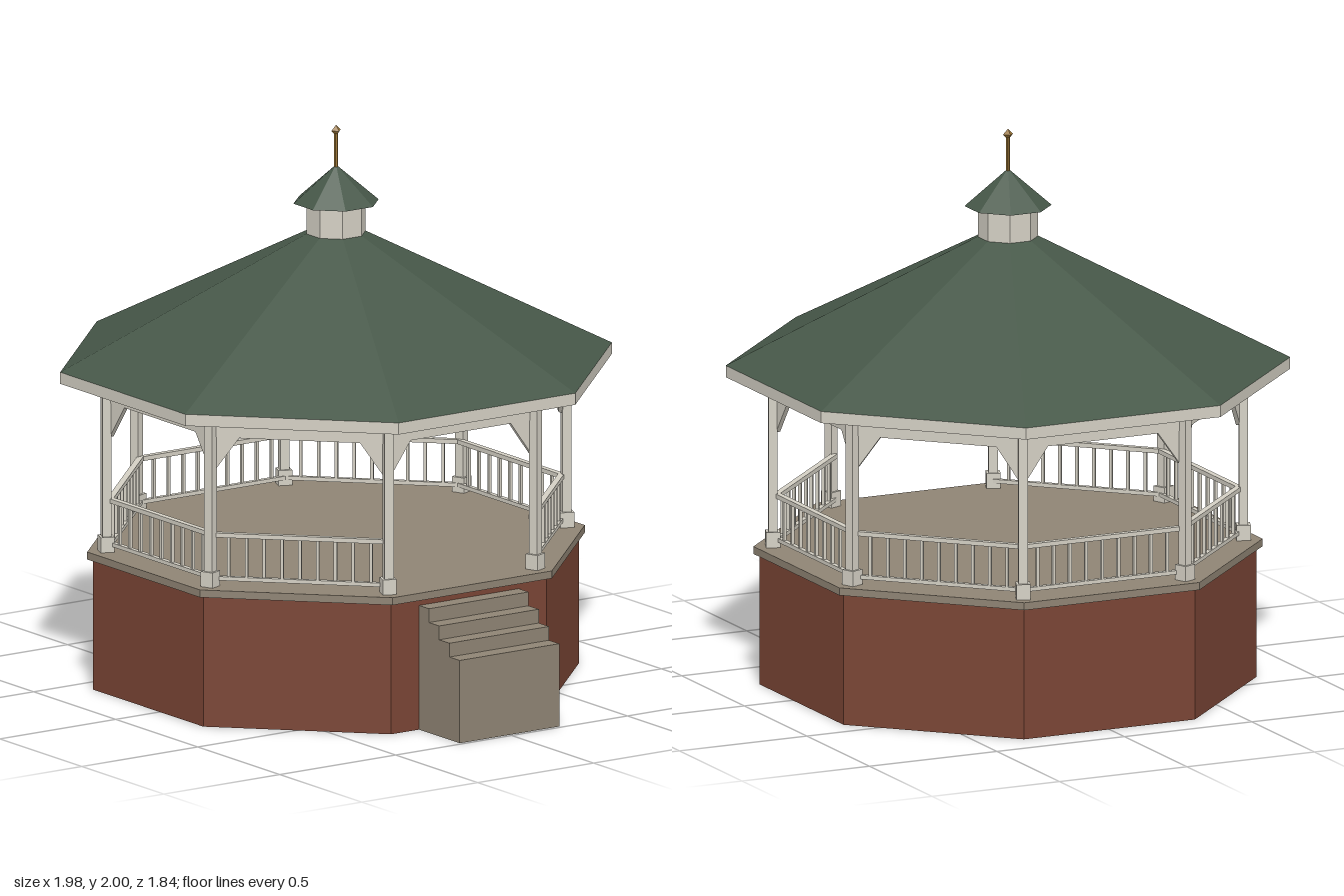
import * as THREE from 'three';

const mat = (name, color, extra = {}) => {
  const m = new THREE.MeshStandardMaterial({ color, flatShading: true, ...extra });
  m.name = name;
  return m;
};

export function createModel() {
  const brick = mat('brick', 0x7a4535, { side: THREE.DoubleSide });
  const cream = mat('cream paint', 0xd4d0c4);
  const stone = mat('stone', 0x8f8474);
  const green = mat('green roofing', 0x475849);
  const bronze = mat('bronze', 0x9a7434);

  const model = new THREE.Group();
  model.name = 'gazebo';
  const body = new THREE.Group();
  body.name = 'pavilion';
  body.position.x = -0.07;
  model.add(body);

  const add = (parent, name, geometry, material, x = 0, y = 0, z = 0) => {
    const mesh = new THREE.Mesh(geometry, material);
    mesh.name = name;
    mesh.position.set(x, y, z);
    parent.add(mesh);
    return mesh;
  };
  const box = (parent, name, material, w, h, d, x, y, z) =>
    add(parent, name, new THREE.BoxGeometry(w, h, d), material, x, y, z);

  // Octagonal tier, sized by the distance from its centre to its flat sides
  const octagon = (name, material, bottom, top, y0, y1, open = false) => {
    const k = 1 / Math.cos(Math.PI / 8);
    const g = new THREE.CylinderGeometry(top * k, bottom * k, y1 - y0, 8, 1, open);
    g.rotateY(Math.PI / 8);
    return add(body, name, g, material, 0, (y0 + y1) / 2, 0);
  };

  // Hollow base, deck, roof and cupola
  octagon('baseWall', brick, 0.81, 0.81, 0, 0.475, true);
  octagon('deck', stone, 0.83, 0.83, 0.473, 0.5);
  octagon('eaves', cream, 0.92, 0.92, 1.115, 1.157);
  octagon('roof', green, 0.92, 0.1, 1.157, 1.61);
  octagon('cupola', cream, 0.098, 0.098, 1.605, 1.722);
  octagon('cupolaRoof', green, 0.142, 0.001, 1.722, 1.855);

  // Finial
  add(body, 'finialPole', new THREE.CylinderGeometry(0.008, 0.008, 0.14, 8), bronze, 0, 1.915, 0);
  add(body, 'finialTip', new THREE.OctahedronGeometry(0.02), bronze, 0, 1.98, 0);

  // Corner bracket, with its right angle at the origin
  const bracketShape = new THREE.Shape();
  bracketShape.moveTo(0, 0);
  bracketShape.lineTo(0, -0.125);
  bracketShape.lineTo(0.09, 0);
  bracketShape.closePath();
  const bracketLeft = new THREE.ExtrudeGeometry(bracketShape, { depth: 0.016, bevelEnabled: false });
  bracketLeft.translate(0, 0, -0.008);
  const bracketRight = bracketLeft.clone().rotateY(Math.PI);

  for (let k = 0; k < 8; k++) {
    // Post on each corner
    const corner = new THREE.Group();
    corner.name = 'post';
    corner.rotation.y = (k + 0.5) * Math.PI / 4;
    body.add(corner);
    box(corner, 'postShaft', cream, 0.033, 0.62, 0.033, 0, 0.808, 0.83);
    box(corner, 'postFoot', cream, 0.05, 0.056, 0.05, 0, 0.527, 0.83);

    // Beam, brackets and railing on each side
    const side = new THREE.Group();
    side.name = 'side';
    side.rotation.y = k * Math.PI / 4;
    body.add(side);
    const z = 0.752;
    box(side, 'beam', cream, 0.625, 0.078, 0.02, 0, 1.078, z);
    add(side, 'bracket', bracketLeft, cream, -0.305, 1.04, z);
    add(side, 'bracket', bracketRight, cream, 0.305, 1.04, z);

    // The side above the steps stays open
    if (k === 2) continue;
    box(side, 'topRail', cream, 0.62, 0.016, 0.022, 0, 0.684, z);
    box(side, 'bottomRail', cream, 0.62, 0.014, 0.018, 0, 0.527, z);
    for (let i = -4; i <= 4; i++) {
      box(side, 'baluster', cream, 0.011, 0.15, 0.011, i * 0.0635, 0.605, z);
    }
  }

  // Steps
  const steps = new THREE.Group();
  steps.name = 'steps';
  model.add(steps);
  for (let i = 0; i < 4; i++) {
    const h = 0.45 - i * 0.05;
    box(steps, 'step', stone, 0.0625, h, 0.43, 0.769 + i * 0.0625, h / 2, 0);
  }
  return model;
}
